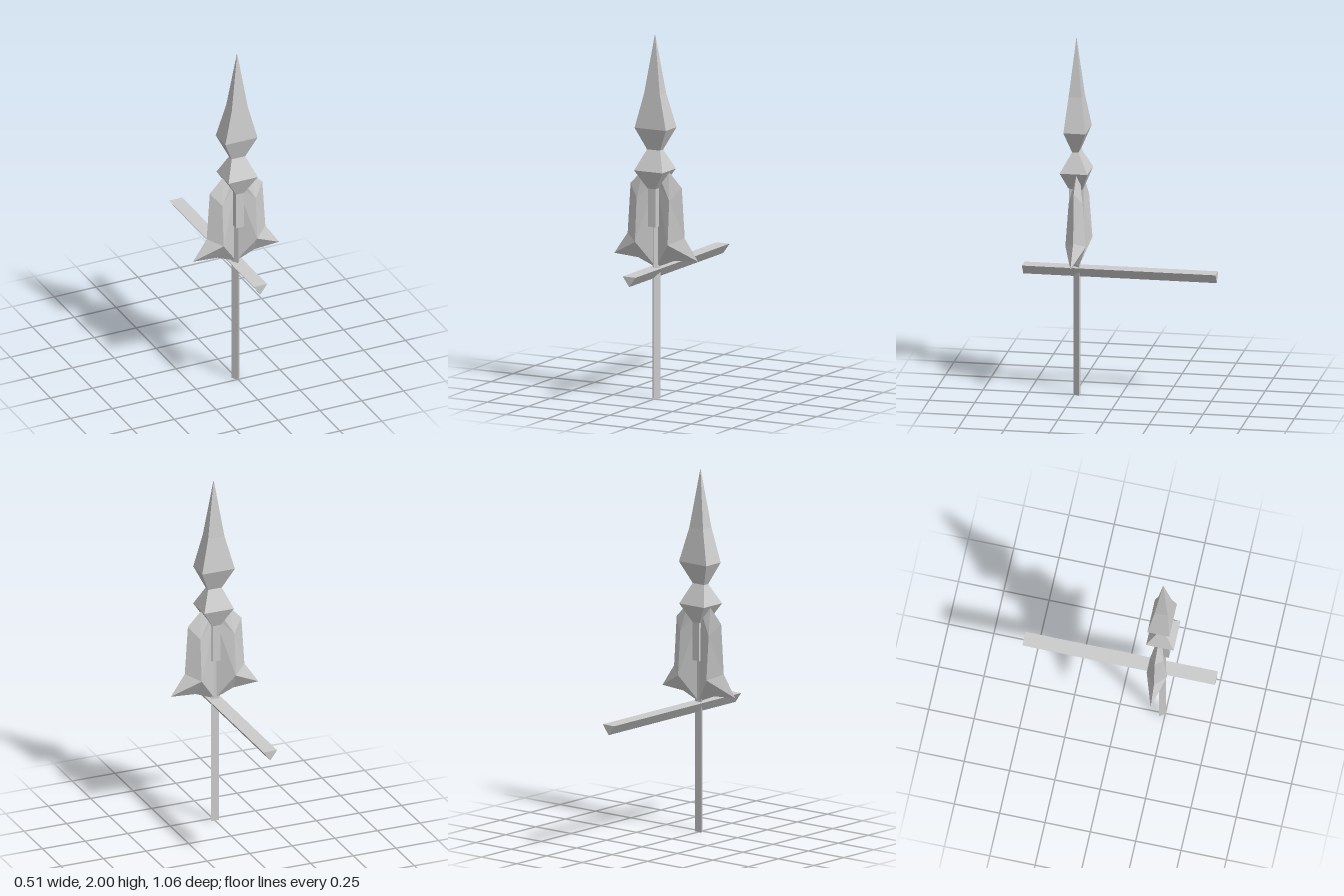
import * as THREE from 'three';

const grey = new THREE.MeshStandardMaterial({ color: 0xcccccc, flatShading: true });

function add(group, name, geometry) {
  const mesh = new THREE.Mesh(geometry, grey);
  mesh.name = name;
  group.add(mesh);
  return mesh;
}

// Prism along z from a polygon, starting at z = 0
function prism(points, depth) {
  const shape = new THREE.Shape(points.map(([x, y]) => new THREE.Vector2(x, y)));
  return new THREE.ExtrudeGeometry(shape, { depth, bevelEnabled: false });
}

// Solid through rectangular sections [y, halfWidth, zBack, zFront]
function rectLoft(sections) {
  const pos = [], idx = [];
  for (const [y, w, b, f] of sections) pos.push(-w, y, f, w, y, f, w, y, b, -w, y, b);
  const last = (sections.length - 1) * 4;
  for (let s = 0; s < last; s += 4) {
    for (let i = 0; i < 4; i++) {
      const a = s + i, c = s + (i + 1) % 4;
      idx.push(a, c, c + 4, a, c + 4, a + 4);
    }
  }
  idx.push(0, 2, 1, 0, 3, 2, last, last + 1, last + 2, last, last + 2, last + 3);
  return fromFaces(pos, idx);
}

function fromFaces(pos, idx) {
  const g = new THREE.BufferGeometry();
  g.setAttribute('position', new THREE.Float32BufferAttribute(pos, 3));
  g.setIndex(idx);
  const flat = g.toNonIndexed();
  flat.computeVertexNormals();
  return flat;
}

// Faceted wing: flat outline with a raised ridge on both faces
function wing(side) {
  const midZ = 0.225;
  const outline = [[0, 0.72], [0.11, 0.765], [0.257, 0.775], [0.175, 0.895],
    [0.157, 1.17], [0.08, 1.25], [0, 1.2]];
  const ridge = [[0.1, 0.86, 0.056], [0.1, 1.1, 0.038], [0.04, 1.2, 0.016]];
  const faces = [[0, 1, 7], [1, 2, 7], [2, 3, 7], [3, 8, 7], [3, 4, 8], [4, 5, 8],
    [5, 9, 8], [5, 6, 9], [6, 8, 9], [6, 7, 8], [6, 0, 7]];
  const pos = [], idx = [];
  for (const face of [1, -1]) {
    const start = pos.length / 3;
    for (const [x, y] of outline) pos.push(x * side, y, midZ);
    for (const [x, y, z] of ridge) pos.push(x * side, y, midZ + z * face);
    for (const [a, b, c] of faces) {
      const order = face * side > 0 ? [a, b, c] : [a, c, b];
      idx.push(...order.map((i) => i + start));
    }
  }
  return fromFaces(pos, idx);
}

export function createModel() {
  const group = new THREE.Group();
  group.name = 'spearOrnament';

  // Three-sided pole with its edge to the front
  const pole = add(group, 'pole', prism([[-0.024, -0.22], [0, -0.255], [0.024, -0.22]].reverse(), 1));
  pole.rotation.x = -Math.PI / 2;

  // Three-sided crossbar running front to back, edge down
  const bar = add(group, 'crossbar', prism([[-0.04, 0.72], [0, 0.665], [0.04, 0.72]], 1.06));
  bar.position.z = -0.53;

  // Pair of wings
  add(group, 'leftWing', wing(1));
  add(group, 'rightWing', wing(-1));

  // Socket below the collar
  add(group, 'socket', rectLoft([[0.95, 0.023, 0.2, 0.275], [1.17, 0.023, 0.2, 0.275]]));

  // Collar, neck and spearhead
  add(group, 'collar', rectLoft([
    [1.16, 0.024, 0.2, 0.277], [1.26, 0.087, 0.163, 0.315], [1.37, 0.04, 0.22, 0.255],
  ]));
  add(group, 'spearhead', rectLoft([
    [1.37, 0.04, 0.22, 0.255], [1.49, 0.096, 0.172, 0.293],
    [1.68, 0.048, 0.202, 0.273], [2, 0.001, 0.237, 0.239],
  ]));
  return group;
}
